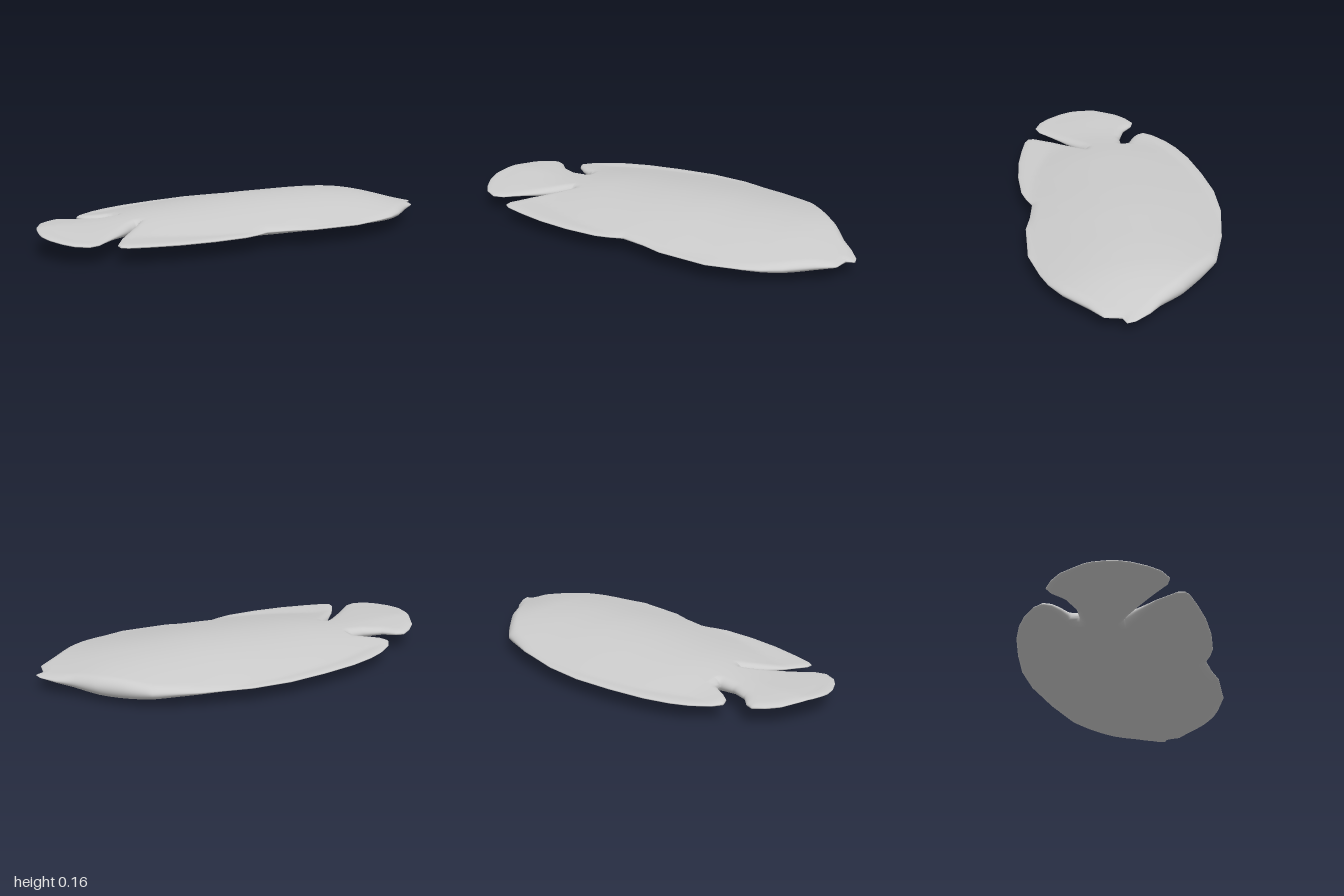
import * as THREE from 'three';
import { mergeVertices } from 'three/addons/utils/BufferGeometryUtils.js';

// Outline pieces as [x, z], each running from tail to head
const dorsal = [[-0.71, -0.24], [-0.68, -0.29], [-0.6, -0.35], [-0.52, -0.39], [-0.4, -0.43], [-0.22, -0.465],
  [-0.03, -0.488], [0.16, -0.48], [0.4, -0.43], [0.6, -0.36], [0.68, -0.29], [0.8, -0.17], [0.88, -0.06],
  [0.94, 0], [0.99, 0.07], [1, 0.11]];
const belly = [[-0.73, 0.39], [-0.7, 0.41], [-0.6, 0.435], [-0.47, 0.46], [-0.31, 0.473], [-0.15, 0.468],
  [-0.08, 0.45], [-0.02, 0.425], [0.1, 0.445], [0.2, 0.472], [0.44, 0.48], [0.6, 0.44], [0.68, 0.41],
  [0.76, 0.36], [0.87, 0.26], [0.93, 0.215], [0.95, 0.2], [0.96, 0.125], [1, 0.11]];
// Edges of the two notches beside the tail
const dorsalNotch = [[-0.71, -0.24], [-0.69, -0.2], [-0.65, -0.17], [-0.58, -0.135], [-0.57, -0.1]];
const tailUpper = [[-1, 0.1], [-0.99, 0.03], [-0.975, -0.02], [-0.93, -0.12], [-0.88, -0.17], [-0.83, -0.2],
  [-0.79, -0.185], [-0.74, -0.135], [-0.65, -0.1], [-0.57, -0.1]];
const tailLower = [[-1, 0.13], [-0.985, 0.19], [-0.95, 0.26], [-0.91, 0.31], [-0.85, 0.34], [-0.8, 0.325],
  [-0.7, 0.235], [-0.57, 0.122], [-0.535, 0.1]];
const bellyNotch = [[-0.73, 0.36], [-0.67, 0.26], [-0.6, 0.175], [-0.535, 0.1]];
// Inner lines along which the three strips join
const upperSeam = [[0.6, -0.1], [0.8, -0.06], [0.95, 0.05], [1, 0.11]];
const lowerSeam = [[0.9, 0.13], [0.95, 0.1], [1, 0.11]];

// Height of the back and underside along the length, and width of the swelling
const topLine = [[-1, 0.12], [-0.9, 0.124], [-0.7, 0.117], [-0.6, 0.121], [-0.4, 0.14], [0, 0.158], [0.2, 0.163],
  [0.5, 0.158], [0.7, 0.145], [0.85, 0.115], [0.95, 0.086], [1, 0.077]];
const baseLine = [[-1, 0.112], [-0.9, 0.097], [-0.7, 0.066], [-0.4, 0.03], [-0.2, 0.015], [0, 0.007],
  [0.2, 0.001], [0.6, 0.003], [0.75, 0.02], [0.9, 0.052], [1, 0.07]];
const swell = [[-1, 0.49], [-0.85, 0.45], [-0.6, 0.34], [-0.3, 0.44], [0, 0.49], [1, 0.49]];

function at(table, x) {
  if (x <= table[0][0]) return table[0][1];
  for (let i = 1; i < table.length; i++) {
    const [x0, v0] = table[i - 1], [x1, v1] = table[i];
    if (x <= x1) return v0 + (v1 - v0) * (x - x0) / (x1 - x0);
  }
  return table[table.length - 1][1];
}

// Average over a short span for smooth length profiles
function smooth(table, x) {
  let sum = 0;
  for (let k = -3; k <= 3; k++) sum += at(table, x + k * 0.02);
  return sum / 7;
}

const rims = [dorsal, belly, dorsalNotch, tailUpper, tailLower, bellyNotch,
  [[-1, 0.1], [-1, 0.13]], [[-0.73, 0.36], [-0.73, 0.39]]];

function rimDistance(x, z) {
  let best = Infinity;
  for (const line of rims) {
    for (let i = 1; i < line.length; i++) {
      const [ax, az] = line[i - 1], dx = line[i][0] - ax, dz = line[i][1] - az;
      const t = THREE.MathUtils.clamp(((x - ax) * dx + (z - az) * dz) / (dx * dx + dz * dz), 0, 1);
      best = Math.min(best, Math.hypot(x - ax - t * dx, z - az - t * dz));
    }
  }
  return best;
}

// Lens-shaped section that rounds off to a thin rim
function surfaceY(x, z, side) {
  const top = smooth(topLine, x), base = smooth(baseLine, x);
  const mid = THREE.MathUtils.lerp((top + base) / 2, 0.083, Math.min(1, Math.abs(z) / 0.45));
  const u = Math.min(1, Math.abs(z) / smooth(swell, x));
  const half = (top - base) / 2 * Math.pow(Math.max(0, Math.cos(u * Math.PI / 2)), 1.1);
  const near = 1 - Math.min(1, rimDistance(x, z) / 0.04);
  return mid + side * Math.max(half, 0.009) * Math.sqrt(Math.max(0, 1 - near * near));
}

export function createModel() {
  const strips = [
    [dorsal, [...dorsalNotch, ...upperSeam]],
    [[...tailUpper, ...upperSeam], [...tailLower, ...lowerSeam]],
    [[...bellyNotch, ...lowerSeam], belly],
  ];

  // Shared stations along the length so the strips meet exactly
  const stations = new Set([-0.997, -0.993, -0.725, -0.72, -0.705, -0.7, 0.995]);
  for (let i = 0; i <= 100; i++) stations.add(+(-1 + i * 0.02).toFixed(3));
  for (const [a, b] of strips) for (const [x] of [...a, ...b]) stations.add(x);
  const xs = [...stations].sort((a, b) => a - b);

  const positions = [], index = [], n = 28;
  for (const [near, far] of strips) {
    const start = Math.max(near[0][0], far[0][0]);
    const own = xs.filter((x) => x >= start);
    for (const side of [1, -1]) {
      const first = positions.length / 3;
      own.forEach((x, i) => {
        const z0 = at(near, x), z1 = at(far, x);
        for (let j = 0; j <= n; j++) {
          const z = z0 + (z1 - z0) * (1 - Math.cos(Math.PI * j / n)) / 2;
          positions.push(x, surfaceY(x, z, side), z);
          if (i === 0 || j === 0) continue;
          const d = first + i * (n + 1) + j, c = d - 1, b = d - n - 1, a = b - 1;
          if (side > 0) index.push(a, b, c, b, d, c);
          else index.push(a, c, b, b, c, d);
        }
      });
    }
  }

  let geometry = new THREE.BufferGeometry();
  geometry.setAttribute('position', new THREE.Float32BufferAttribute(positions, 3));
  geometry.setIndex(index);
  geometry = mergeVertices(geometry, 1e-5);
  geometry.computeVertexNormals();
  geometry.computeBoundingBox();
  geometry.translate(0, -geometry.boundingBox.min.y, 0);

  const body = new THREE.Mesh(geometry, new THREE.MeshStandardMaterial({ color: 0xcccccc, side: THREE.DoubleSide }));
  body.name = 'fishBodyWithFins';
  const group = new THREE.Group();
  group.name = 'flatFish';
  group.add(body);
  return group;
}
